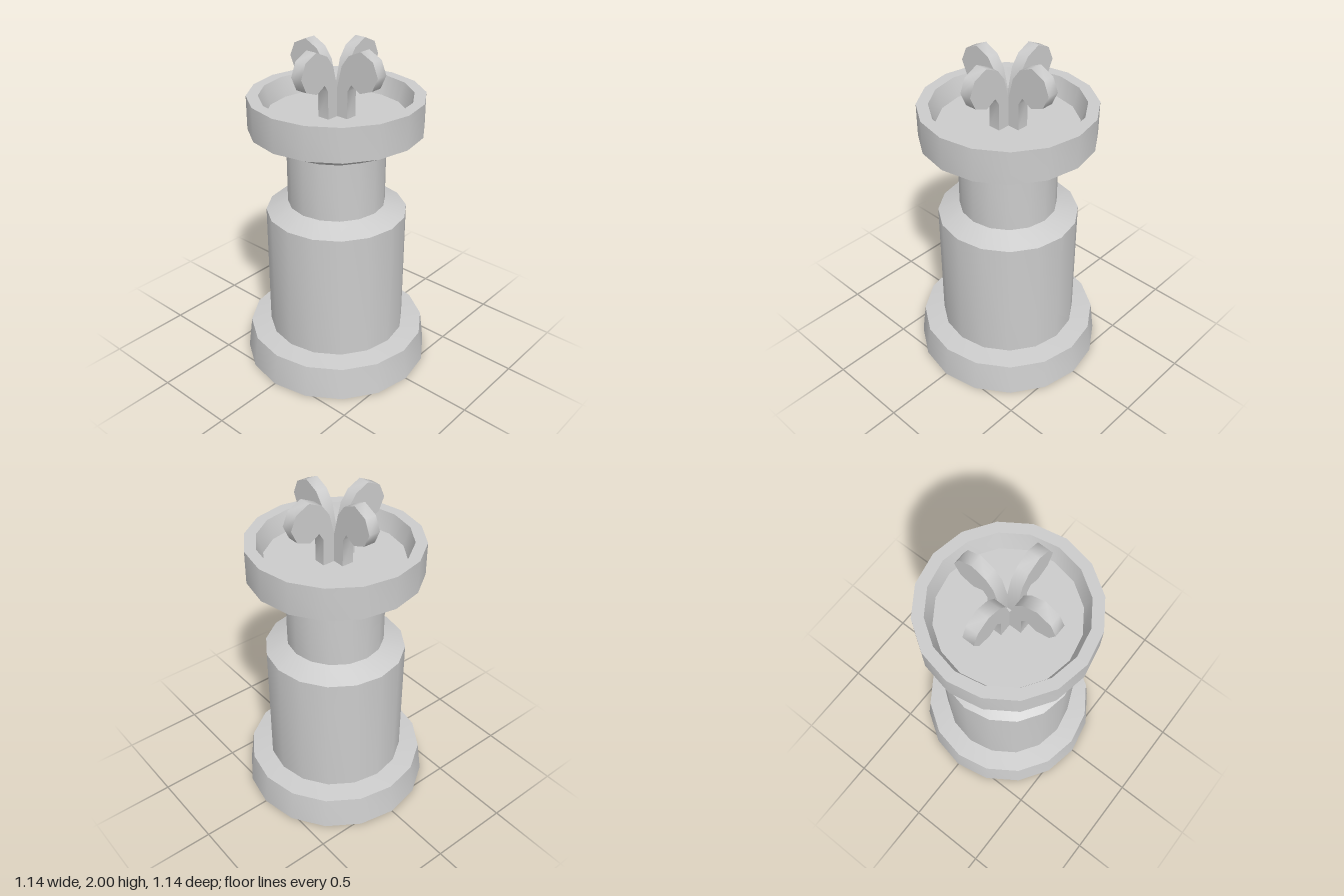
import * as THREE from 'three';
import { toCreasedNormals } from 'three/addons/utils/BufferGeometryUtils.js';

const SIDES = 16;
const FLOOR = 1.6;   // height of the dish floor
const HALF = 0.036;  // half thickness of a spout

const material = new THREE.MeshStandardMaterial({ color: 0xcccccc });

function addMesh(parent, name, geometry, crease) {
  const mesh = new THREE.Mesh(toCreasedNormals(geometry, crease), material);
  mesh.name = name;
  parent.add(mesh);
  return mesh;
}

// Turned part from [radius, height] pairs, listed from the bottom up
function addTurned(parent, name, profile) {
  const points = profile.map(([r, y]) => new THREE.Vector2(r, y));
  return addMesh(parent, name, new THREE.LatheGeometry(points, SIDES), 0.6);
}

// Flat hooked spout: straight stem curling outwards into a rounded head
function spoutGeometry() {
  const outline = [
    [HALF, FLOOR], [0.11, FLOOR], [0.11, 1.76], [0.137, 1.803],
    [0.2, 1.768], [0.283, 1.8], [0.32, 1.88], [0.285, 1.96],
    [0.2, 2], [0.116, 1.96], [0.068, 1.895], [HALF, 1.77],
  ].map(([x, y]) => new THREE.Vector2(x, y));
  const geometry = new THREE.ExtrudeGeometry(new THREE.Shape(outline), {
    depth: HALF * 2, bevelEnabled: false,
  });
  return geometry.translate(0, 0, -HALF);
}

export function createModel() {
  const model = new THREE.Group();
  model.name = 'fountain';

  // Stepped pedestal
  addTurned(model, 'base', [[0, 0], [0.57, 0], [0.545, 0.2], [0.42, 0.215]]);
  addTurned(model, 'column', [[0.42, 0.215], [0.42, 1], [0.29, 1.055]]);
  addTurned(model, 'neck', [[0.29, 1.055], [0.29, 1.405]]);

  // Dish with a flared underside and a sunken floor
  addTurned(model, 'dish', [
    [0.29, 1.405], [0.507, 1.515], [0.507, 1.713],
    [0.44, 1.713], [0.405, FLOOR], [0, FLOOR],
  ]);

  // Four spouts set crosswise around the centre
  const spouts = new THREE.Group();
  spouts.name = 'spouts';
  model.add(spouts);
  for (let i = 0; i < 4; i++) {
    addMesh(spouts, 'spout', spoutGeometry(), 0.9).rotation.y = i * Math.PI / 2;
  }
  return model;
}
